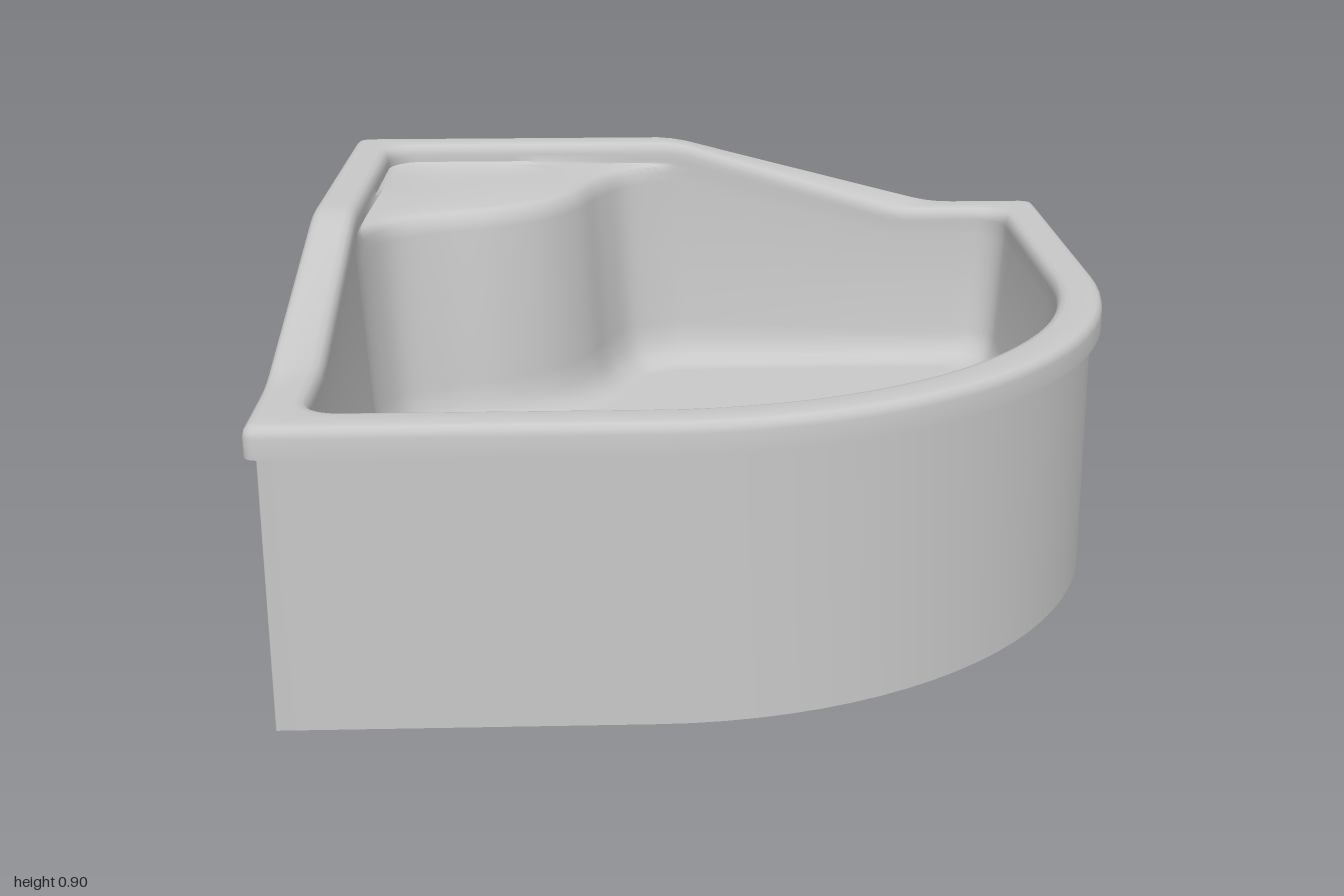
import * as THREE from 'three';
import { toCreasedNormals } from 'three/addons/utils/BufferGeometryUtils.js';

const FLOOR = 0.25, OPEN = 0.112, ARC_C = -0.15;
const DRAIN = { x: -0.64, z: 0.63, r: 0.065, lip: 0.085 };

// Plan outline inset by d, with corner radius r; always the same point count.
function outline(d, r) {
  const a = 1 - d, pts = [];
  const line = (x0, z0, x1, z1, n) => {
    for (let i = 0; i < n; i++) pts.push(new THREE.Vector2(x0 + (x1 - x0) * i / n, z0 + (z1 - z0) * i / n));
  };
  const arc = (cx, cz, rad, from, n) => {
    for (let i = 0; i < n; i++) {
      const t = from + Math.PI / 2 * i / n;
      pts.push(new THREE.Vector2(cx + rad * Math.cos(t), cz + rad * Math.sin(t)));
    }
  };
  const k = a - r;
  arc(-k, k, r, Math.PI / 2, 6);
  line(-a, k, -a, -k, 48);
  arc(-k, -k, r, Math.PI, 6);
  line(-k, -a, k, -a, 48);
  arc(k, -k, r, -Math.PI / 2, 6);
  line(a, -k, a, ARC_C, 10);
  arc(ARC_C, ARC_C, a - ARC_C, 0, 24);
  line(ARC_C, a, -k, a, 10);
  return pts;
}

// Rim height per outline point: high at the back corner, ramping down along both walls.
const rimHeight = outline(0, 0.03).map((p) => {
  if (p.x > -0.99 && p.y > -0.99) return 0.7;
  const m = Math.max(p.x, p.y);
  const ramp = (v) => 0.9 - 0.2 * THREE.MathUtils.clamp((v + 0.08) / 0.78, 0, 1);
  return (ramp(m - 0.04) + ramp(m) + ramp(m + 0.04)) / 3;
});

// S-shaped front edge of the corner seat, symmetric about the diagonal.
const opening = outline(OPEN, 0.09);
const seatIds = opening.map((p, i) => i).filter((i) => Math.max(opening[i].x, opening[i].y) < -0.06);
const first = seatIds[0], last = seatIds[seatIds.length - 1];
const half = [[-0.87, -0.13], [-0.82, -0.22], [-0.71, -0.285], [-0.55, -0.345]];
const seatCurve = new THREE.CatmullRomCurve3([
  [opening[first].x, opening[first].y], ...half, [-0.43, -0.43],
  ...half.map(([x, z]) => [z, x]).reverse(), [opening[last].x, opening[last].y],
].map(([x, z]) => new THREE.Vector3(x, 0, z)));

// Basin outline moved e towards the middle; it follows the seat edge at the back corner.
function basinOutline(e) {
  return outline(OPEN + Math.max(e, 0), 0.09).map((p, i) => {
    if (i < first || i > last) return p;
    const u = (i - first) / (last - first);
    const c = seatCurve.getPointAt(u), t = seatCurve.getTangentAt(u);
    const k = e < 0 ? e * Math.min(1, 6 * u * (1 - u)) : e;
    return new THREE.Vector2(c.x - t.z * k, c.z + t.x * k);
  });
}

// Closed loops joined into a skin; each ring is { pts, y(rimHeight) }.
function loft(rings) {
  const n = rings[0].pts.length, pos = [], idx = [];
  rings.forEach((ring) => ring.pts.forEach((p, i) => pos.push(p.x, ring.y(rimHeight[i]), p.y)));
  for (let j = 0; j < rings.length - 1; j++) {
    for (let i = 0; i < n; i++) {
      const a = j * n + i, b = j * n + (i + 1) % n;
      idx.push(a, b + n, b, a, a + n, b + n);
    }
  }
  const g = new THREE.BufferGeometry();
  g.setAttribute('position', new THREE.Float32BufferAttribute(pos, 3));
  g.setIndex(idx);
  return toCreasedNormals(g, 0.7);
}

export function createModel() {
  const group = new THREE.Group();
  const enamel = new THREE.MeshStandardMaterial({ color: 0xc8c8c8, side: THREE.DoubleSide });
  enamel.name = 'grey enamel';
  const add = (name, geometry) => {
    const mesh = new THREE.Mesh(geometry, enamel);
    mesh.name = name;
    group.add(mesh);
    return mesh;
  };

  // Skirt: hollow wall, open underneath
  add('skirt', loft([
    [0.08, (h) => h - 0.07], [0.08, () => 0], [0.025, () => 0], [0.025, (h) => h - 0.07],
  ].map(([d, y]) => ({ pts: outline(d, 0.004), y }))));

  // Rim: rounded lip following the ramped height
  const rim = [
    [0.08, -0.07], [0, -0.07], [0, -0.025], [0.003, -0.012], [0.012, -0.003], [0.025, 0],
    [0.085, 0], [0.1, -0.004], [0.109, -0.015], [OPEN, -0.03],
  ].map(([d, dy]) => ({ pts: outline(d, d < 0.05 ? 0.03 : 0.09), y: (h) => h + dy }));

  // Basin: seat, walls and floor fillet, heights scaled to the local rim
  const scaled = (y) => (h) => FLOOR + (y - FLOOR) * (h - FLOOR) / (0.9 - FLOOR);
  const inner = basinOutline(-0.05);
  const across = (t) => opening.map((p, i) => p.clone().lerp(inner[i], t));
  const basin = [[0, 0.85], [0.04, 0.842], [0.5, 0.84]].map(([t, y]) => ({ pts: across(t), y: scaled(y) }));
  [
    [-0.05, 0.838], [-0.025, 0.832], [-0.008, 0.815], [0, 0.785], [0.025, 0.37],
    [0.035, 0.315], [0.055, 0.277], [0.085, 0.256], [0.11, FLOOR], [0.13, FLOOR],
  ].forEach(([e, y]) => basin.push({ pts: basinOutline(e), y: scaled(y) }));
  add('rimAndBasin', loft([...rim, ...basin]));

  // Floor with the drain opening
  const shape = new THREE.Shape(basinOutline(0.13).map((p) => new THREE.Vector2(p.x, -p.y)));
  shape.holes.push(new THREE.Path().absarc(DRAIN.x, -DRAIN.z, DRAIN.lip, 0, Math.PI * 2));
  const floor = add('floor', new THREE.ShapeGeometry(shape, 16).rotateX(-Math.PI / 2));
  floor.position.y = FLOOR;

  // Drain: shallow rounded dish around the hole
  const dish = [[DRAIN.r, -0.03], [DRAIN.r + 0.002, -0.015], [DRAIN.r + 0.008, -0.005], [DRAIN.lip, 0]];
  const drain = add('drain', new THREE.LatheGeometry(dish.map(([r, y]) => new THREE.Vector2(r, y)), 32));
  drain.position.set(DRAIN.x, FLOOR, DRAIN.z);

  return group;
}
